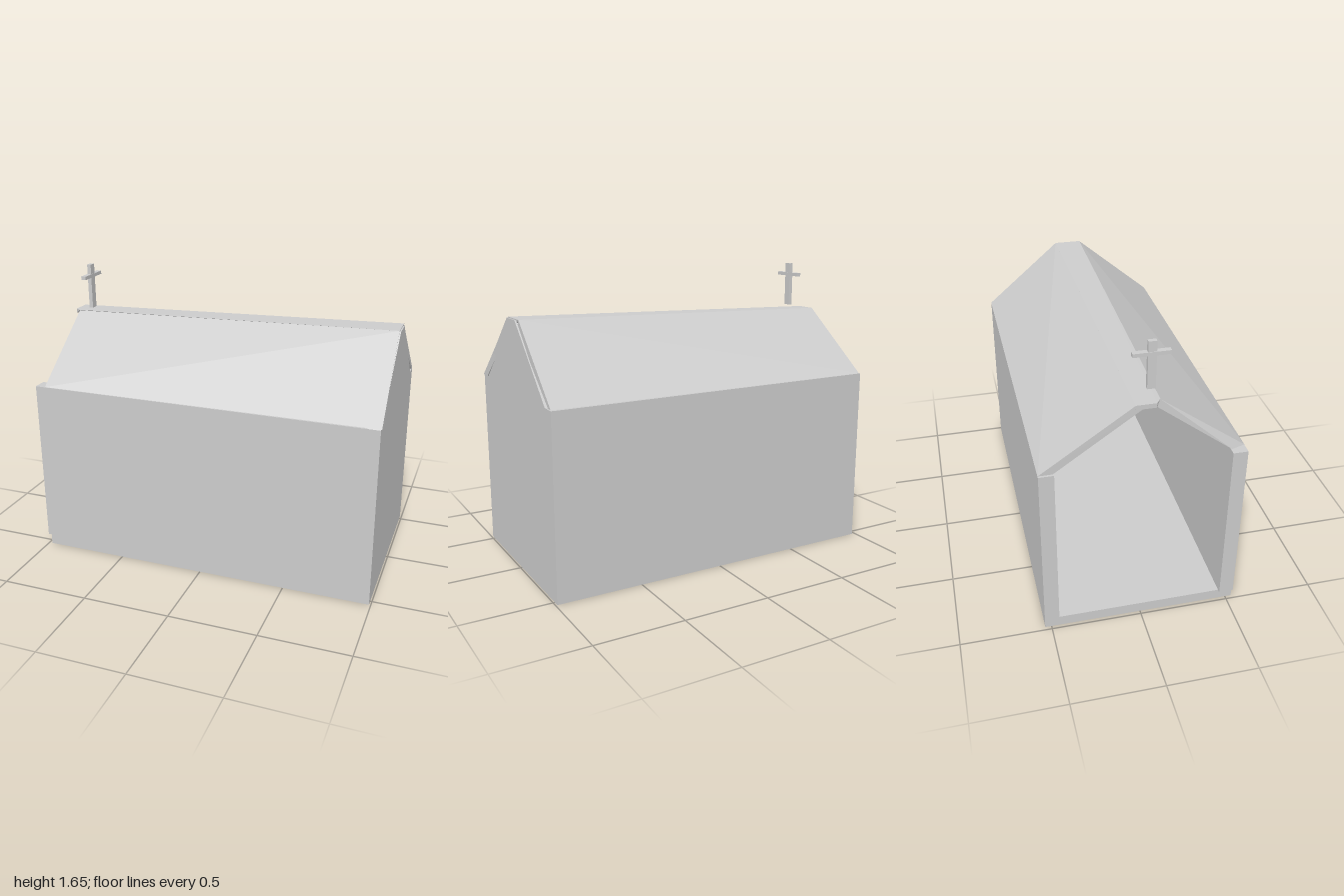
import * as THREE from 'three';
import { ConvexGeometry } from 'three/addons/geometries/ConvexGeometry.js';

const material = new THREE.MeshStandardMaterial({ color: 0xcccccc, flatShading: true, side: THREE.DoubleSide });

export function createModel() {
  const group = new THREE.Group();

  const add = (name, geometry) => {
    const mesh = new THREE.Mesh(geometry, material);
    mesh.name = name;
    group.add(mesh);
  };

  // Box given by its extents along each axis
  const box = (name, [x0, x1], [y0, y1], [z0, z1]) => {
    const g = new THREE.BoxGeometry(x1 - x0, y1 - y0, z1 - z0);
    g.translate((x0 + x1) / 2, (y0 + y1) / 2, (z0 + z1) / 2);
    add(name, g);
  };

  // Convex slab between two end sections, each a list of [x, y, z]
  const slab = (name, startSection, endSection) =>
    add(name, new ConvexGeometry([...startSection, ...endSection].map((p) => new THREE.Vector3(...p))));

  // Floor and side walls, open at the -x end
  box('floor', [-0.98, 0.99], [0, 0.06], [-0.535, 0.535]);
  box('frontWall', [-1, 0.92], [0.06, 1.025], [0.455, 0.535]);
  box('backWall', [-0.98, 0.92], [0.06, 1.025], [-0.535, -0.455]);

  // Gable wall closing the +x end, drawn with -z to the right
  const outline = [
    [-0.535, 0.06], [0.535, 0.06], [0.535, 1.025], [0.455, 1.025],
    [0.13, 1.34], [0.05, 1.415], [-0.075, 1.415], [-0.535, 1.025],
  ].map((p) => new THREE.Vector2(...p));
  const gable = new THREE.ExtrudeGeometry(new THREE.Shape(outline), { depth: 0.07, bevelEnabled: false });
  gable.rotateY(Math.PI / 2).translate(0.92, 0, 0);
  add('gableWall', gable);

  // Roof slopes, rising slightly towards the gable
  slab('frontRoof',
    [[-0.94, 1.027, 0.535], [-0.965, 1.027, 0.46], [-0.945, 1.35, 0.03], [-0.945, 1.368, 0.075]],
    [[0.995, 1.03, 0.535], [0.995, 1.03, 0.46], [0.982, 1.39, 0.03], [0.982, 1.42, 0.075]]);
  slab('backRoof',
    [[-0.97, 1.027, -0.535], [-0.97, 1.027, -0.46], [-0.98, 1.345, -0.02], [-0.98, 1.37, -0.055]],
    [[0.99, 1.03, -0.535], [0.99, 1.03, -0.5], [0.98, 1.37, -0.06], [0.98, 1.42, -0.085]]);

  // Flat ridge cap
  slab('ridge',
    [[-0.98, 1.345, -0.055], [-0.98, 1.37, -0.055], [-0.98, 1.345, 0.05], [-0.98, 1.37, 0.05], [-0.945, 1.37, 0.075]],
    [[0.982, 1.395, -0.06], [0.982, 1.42, -0.085], [0.982, 1.395, 0.05], [0.982, 1.42, 0.075]]);

  // Cross above the open end
  box('crossPost', [-0.88, -0.857], [1.39, 1.65], [0.027, 0.07]);
  box('crossBar', [-0.883, -0.854], [1.573, 1.593], [-0.05, 0.143]);

  return group;
}
